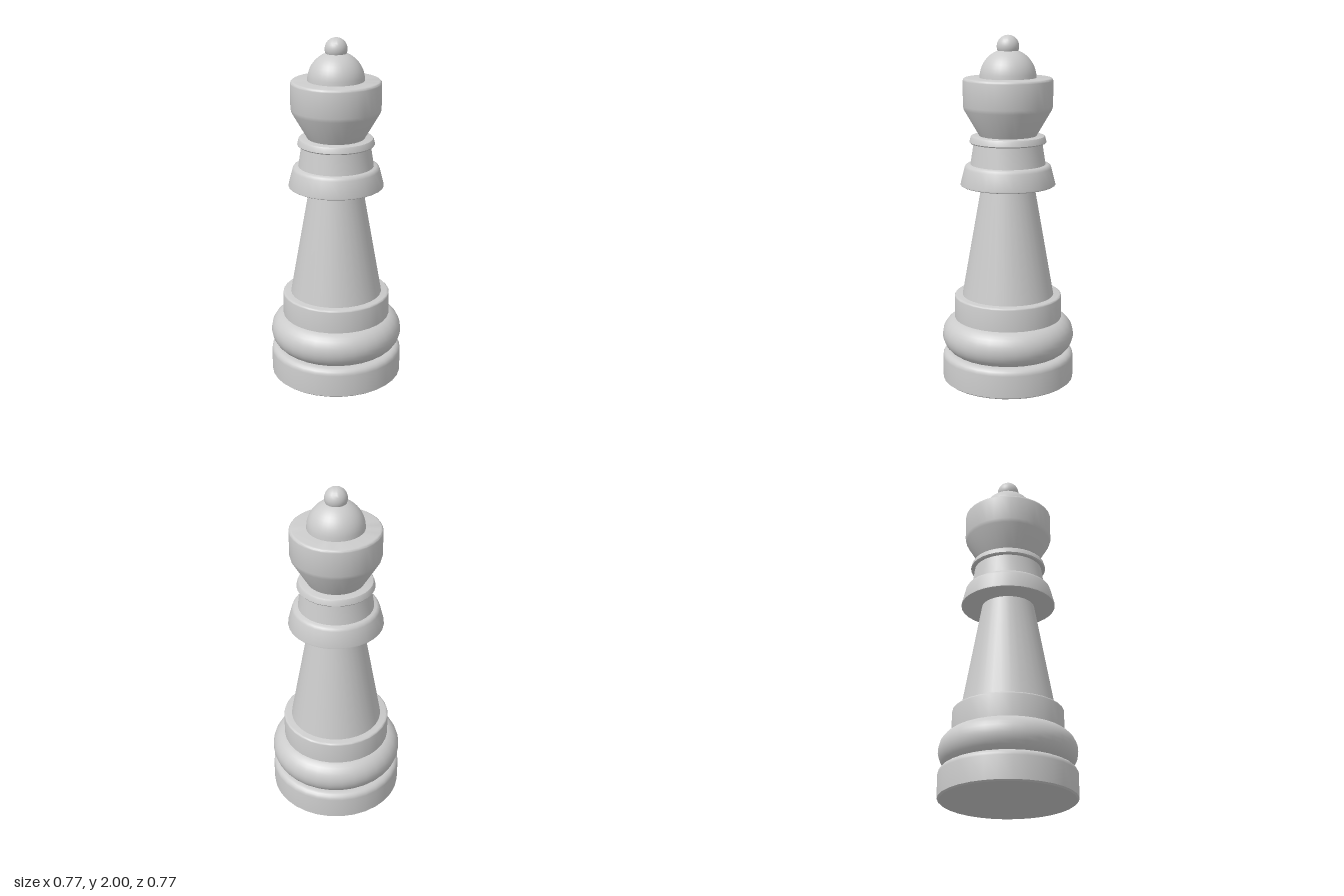
import * as THREE from 'three';
import { toCreasedNormals } from 'three/addons/utils/BufferGeometryUtils.js';

const SIDES = 32;
const material = new THREE.MeshStandardMaterial({ color: 0xcccccc });

// Points of an elliptical arc around (cx, cy), angles in degrees
function arc(cx, cy, rx, ry, from, to, steps) {
  const points = [];
  for (let i = 0; i <= steps; i++) {
    const a = THREE.MathUtils.degToRad(from + (to - from) * i / steps);
    points.push([Math.max(0, cx + rx * Math.cos(a)), cy + ry * Math.sin(a)]);
  }
  return points;
}

// Turned part from a bottom-to-top profile of [radius, height]
function turned(name, profile) {
  const points = profile.map(([r, y]) => new THREE.Vector2(r, y));
  const geometry = toCreasedNormals(new THREE.LatheGeometry(points, SIDES), 0.6);
  const mesh = new THREE.Mesh(geometry, material);
  mesh.name = name;
  return mesh;
}

export function createModel() {
  const group = new THREE.Group();
  group.name = 'chessPiece';

  group.add(
    // Foot disc with a rounded upper edge
    turned('base', [
      [0, 0], [0.372, 0], [0.382, 0.008],
      ...arc(0.343, 0.137, 0.04, 0.038, 0, 90, 5), [0, 0.175],
    ]),
    // Bulging cushion
    turned('cushion', [
      [0, 0.175], ...arc(0.28, 0.27, 0.103, 0.108, -62, 74, 12), [0, 0.38],
    ]),
    // Straight band on the cushion
    turned('band', [
      [0.29, 0.37], [0.311, 0.37], ...arc(0.3, 0.499, 0.011, 0.011, 0, 90, 3), [0, 0.51],
    ]),
    // Tapering stem
    turned('stem', [[0.266, 0.505], [0.15, 1.16]]),
    // Sloped collar
    turned('collar', [
      [0, 1.153], [0.262, 1.153], [0.271, 1.158], [0.271, 1.165],
      [0.248, 1.255], [0.242, 1.268], [0.23, 1.276], [0, 1.276],
    ]),
    // Neck and its thin ring
    turned('neck', [[0.215, 1.27], [0.195, 1.4]]),
    turned('neckRing', [
      [0, 1.397], [0.214, 1.397], [0.219, 1.403],
      [0.213, 1.428], [0.208, 1.436], [0.2, 1.439], [0, 1.439],
    ]),
    // Flared crown
    turned('crown', [
      [0.16, 1.435], [0.248, 1.585], [0.254, 1.607],
      ...arc(0.238, 1.748, 0.016, 0.016, 0, 90, 4), [0, 1.764],
    ]),
    // Dome and finial
    turned('dome', arc(0, 1.764, 0.16, 0.16, 0, 90, 12)),
    turned('finial', arc(0, 1.937, 0.063, 0.063, -60, 90, 14)),
  );
  return group;
}
